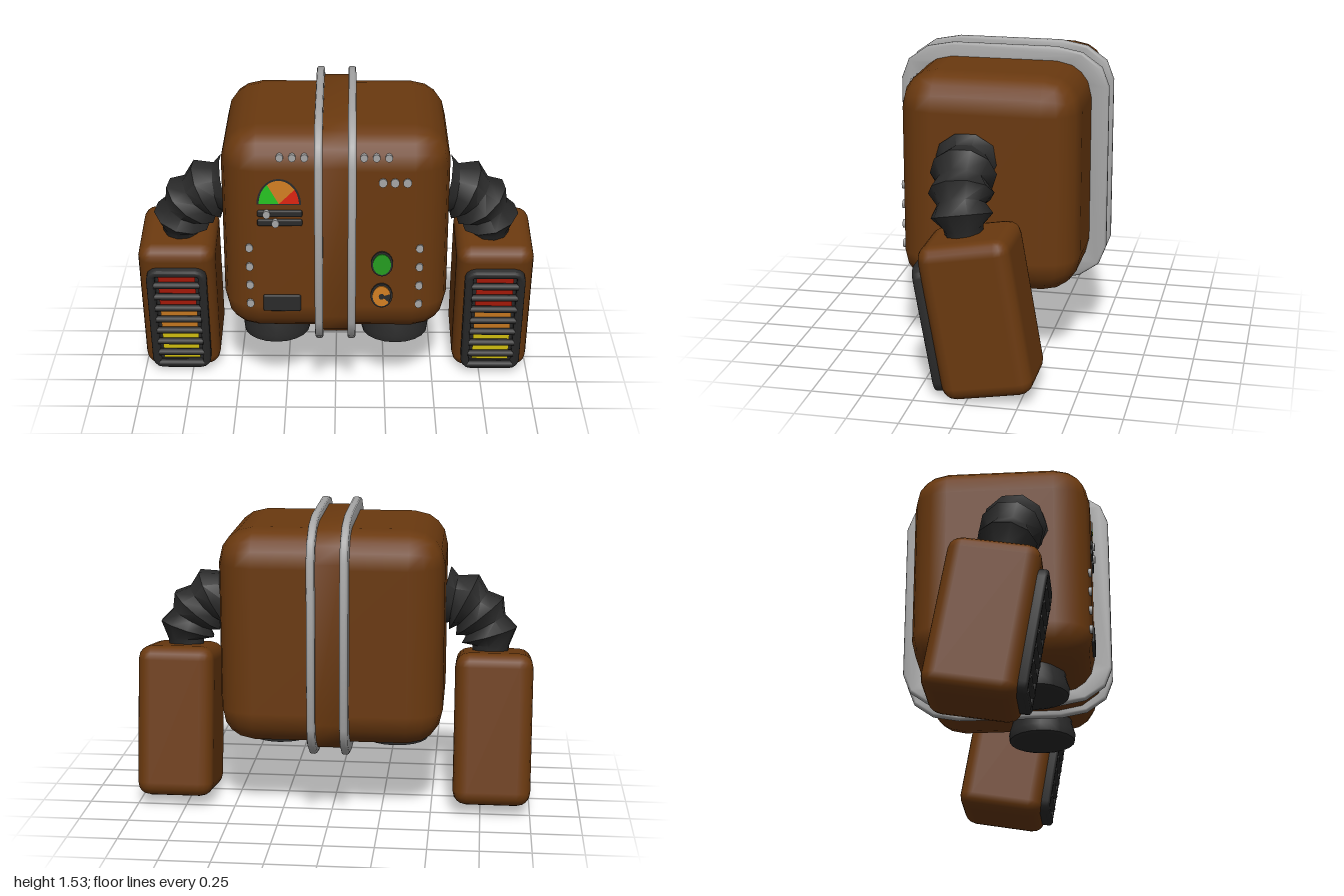
import * as THREE from 'three';
import { toCreasedNormals } from 'three/addons/utils/BufferGeometryUtils.js';
import { RoundedBoxGeometry } from 'three/addons/geometries/RoundedBoxGeometry.js';

const paint = (name, color) => Object.assign(new THREE.MeshStandardMaterial({ color }), { name });
const brown = paint('brown shell', 0x6a390f);
const black = paint('black rubber', 0x2a2a2a);
const grey = paint('grey metal', 0xa6a6a6);
const deepRed = paint('deep red', 0xb01a0a);
const red = paint('bright red', 0xdc2410);
const orange = paint('orange', 0xd27f22);
const yellow = paint('yellow', 0xe0cc12);
const green = paint('bright green', 0x26c422);
const buttonGreen = paint('button green', 0x249c20);

const FRONT = 0.44;

function add(parent, name, geometry, material, x = 0, y = 0, z = 0) {
  const mesh = new THREE.Mesh(geometry, material);
  mesh.name = name;
  mesh.position.set(x, y, z);
  parent.add(mesh);
  return mesh;
}

// Rectangle with three-step rounded corners, as a Shape or Path
function roundedRect(Type, hw, hh, rw, rh = rw, cy = 0) {
  const points = [];
  [[1, 1], [-1, 1], [-1, -1], [1, -1]].forEach(([sx, sy], corner) => {
    for (let i = 0; i <= 3; i++) {
      const a = (corner + i / 3) * Math.PI / 2;
      points.push(new THREE.Vector2(sx * (hw - rw) + rw * Math.cos(a), cy + sy * (hh - rh) + rh * Math.sin(a)));
    }
  });
  return new Type(points);
}

// Short elliptical stud whose axis points forward
function stud(parent, name, material, x, y, rx, ry, z, depth = 0.02, sides = 10) {
  const geometry = new THREE.CylinderGeometry(1, 1, depth, sides).rotateX(Math.PI / 2).scale(rx, ry, 1);
  return add(parent, name, geometry, material, x, y, z - depth / 2);
}

// Flat slice of an ellipse, angles in degrees
function slice(parent, name, material, x, y, rx, ry, z, from, to) {
  const rad = Math.PI / 180;
  const geometry = new THREE.CircleGeometry(1, 16, from * rad, (to - from) * rad).scale(rx, ry, 1);
  return add(parent, name, geometry, material, x, y, z);
}

function buildBody(parent) {
  add(parent, 'body', new RoundedBoxGeometry(1.11, 1.08, 0.88, 2, 0.175), brown, 0, 0.92, 0);

  // Raised centre band, held between two metal hoops
  const bandShape = roundedRect(THREE.Shape, 0.482, 0.57, 0.23, 0.17);
  const band = new THREE.ExtrudeGeometry(bandShape, { depth: 0.13, bevelEnabled: false });
  band.translate(0, 0, -0.065).rotateY(Math.PI / 2);
  add(parent, 'centreBand', toCreasedNormals(band, 0.8), brown, 0, 0.921, 0);

  const hoopShape = roundedRect(THREE.Shape, 0.513, 0.592, 0.255, 0.18);
  hoopShape.holes.push(roundedRect(THREE.Path, 0.42, 0.50, 0.2, 0.13));
  const hoop = new THREE.ExtrudeGeometry(hoopShape, {
    depth: 0.016, bevelThickness: 0.012, bevelSize: 0.012, bevelSegments: 2,
  });
  hoop.translate(0, 0, -0.008).rotateY(Math.PI / 2);
  const hoopGeometry = toCreasedNormals(hoop, 0.9);
  for (const s of [-1, 1]) add(parent, 'hoop', hoopGeometry, grey, s * 0.08, 0.924, 0);

  // Flared feet
  const footProfile = [[0, 0], [0.14, 0], [0.168, 0.008], [0.172, 0.045], [0.155, 0.1], [0.15, 0.17]]
    .map(([x, y]) => new THREE.Vector2(x, y));
  const foot = toCreasedNormals(new THREE.LatheGeometry(footProfile, 20), 0.9);
  for (const s of [-1, 1]) add(parent, 'foot', foot, black, s * 0.302, 0.27, 0.15);
}

function buildControls(parent) {
  // Rivets along the top and down both sides
  for (const x of [-0.265, -0.205, -0.147, 0.136, 0.195, 0.254]) {
    stud(parent, 'topRivet', grey, x, 1.353, 0.018, 0.02, 0.436, 0.03);
  }
  for (const x of [0.227, 0.284, 0.343]) stud(parent, 'indicator', grey, x, 1.23, 0.021, 0.023, FRONT + 0.008);
  for (const x of [-0.418, 0.41]) {
    for (let i = 0; i < 4; i++) stud(parent, 'sideRivet', grey, x, 0.877 - i * 0.102, 0.019, 0.022, 0.443);
  }

  // Three-colour gauge
  const gx = -0.27, gy = 1.12;
  slice(parent, 'gaugeRim', black, gx, gy - 0.006, 0.107, 0.136, FRONT + 0.004, 0, 180);
  [[red, 0, 38], [orange, 38, 125], [green, 125, 180]].forEach(([material, from, to]) =>
    slice(parent, 'gaugeSector', material, gx, gy, 0.096, 0.122, FRONT + 0.009, from, to));

  // Sliders in their slots
  [[1.066, -0.33], [1.018, -0.288]].forEach(([y, knobX]) => {
    add(parent, 'sliderSlot', new RoundedBoxGeometry(0.218, 0.036, 0.02, 1, 0.009), black, -0.267, y, FRONT);
    stud(parent, 'sliderKnob', grey, knobX, y, 0.018, 0.021, FRONT + 0.02);
  });

  add(parent, 'darkPanel', new RoundedBoxGeometry(0.185, 0.09, 0.02, 2, 0.009), black, -0.262, 0.576, FRONT);

  // Two round buttons, the lower one marked like a dial
  for (const [y, material] of [[0.797, buttonGreen], [0.622, orange]]) {
    stud(parent, 'buttonRim', black, 0.227, y, 0.054, 0.067, FRONT + 0.01, 0.02, 18);
    stud(parent, 'button', material, 0.227, y, 0.044, 0.056, FRONT + 0.016, 0.02, 18);
  }
  slice(parent, 'dialWedge', black, 0.227, 0.622, 0.044, 0.056, FRONT + 0.019, -35, 15);
  slice(parent, 'dialHub', black, 0.227, 0.622, 0.014, 0.016, FRONT + 0.02, 0, 360);
}

// Bellows arm: a tube whose rings alternate between ridge and valley
function bellows(side) {
  const path = new THREE.CatmullRomCurve3([
    [0.54, 1.05, 0.085], [0.645, 1.025, 0.08], [0.735, 0.945, 0.07], [0.782, 0.85, 0.055], [0.785, 0.755, 0.04],
  ].map(([x, y, z]) => new THREE.Vector3(side * x, y, z)));
  const radii = [0.16, 0.122, 0.16, 0.12, 0.157, 0.115, 0.148, 0.095, 0.09];
  const sides = 10;
  const geometry = new THREE.TubeGeometry(path, radii.length - 1, 1, sides, false);
  const position = geometry.attributes.position;
  const v = new THREE.Vector3();
  for (let i = 0; i < position.count; i++) {
    const ring = Math.floor(i / (sides + 1));
    const centre = path.getPointAt(ring / (radii.length - 1));
    v.fromBufferAttribute(position, i).sub(centre).multiplyScalar(radii[ring]).add(centre);
    position.setXYZ(i, v.x, v.y, v.z);
  }
  return toCreasedNormals(geometry, 1.0);
}

function buildArm(parent, side) {
  const arm = new THREE.Group();
  arm.name = side > 0 ? 'leftArm' : 'rightArm';
  parent.add(arm);
  add(arm, 'bellows', bellows(side), black);

  const forearm = new THREE.Group();
  forearm.name = 'forearm';
  forearm.position.set(side * 0.805, 0.408, -0.042);
  forearm.rotation.x = 0.17;
  arm.add(forearm);
  add(forearm, 'forearmShell', new RoundedBoxGeometry(0.39, 0.77, 0.444, 2, 0.07), brown);

  // Framed grille with glowing strips behind slats
  const cy = -0.031;
  const frameShape = roundedRect(THREE.Shape, 0.14, 0.305, 0.045, 0.045, cy);
  frameShape.holes.push(roundedRect(THREE.Path, 0.122, 0.292, 0.02, 0.02, cy));
  const frame = new THREE.ExtrudeGeometry(frameShape, {
    depth: 0.05, bevelThickness: 0.012, bevelSize: 0.012, bevelSegments: 2,
  });
  add(forearm, 'grilleFrame', toCreasedNormals(frame, 0.9), black, 0, 0, 0.2);
  add(forearm, 'grilleBack', new THREE.PlaneGeometry(0.25, 0.59), black, 0, cy, 0.226);

  const stripColours = [deepRed, deepRed, deepRed, orange, orange, yellow, yellow, yellow];
  const slat = new THREE.CylinderGeometry(0.018, 0.018, 0.235, 8).rotateZ(Math.PI / 2);
  stripColours.forEach((material, i) => {
    const y = 0.232 - i * 0.0735;
    add(forearm, 'glowStrip', new THREE.PlaneGeometry(0.188, i === 7 ? 0.03 : 0.06), material, 0, y, 0.234);
    if (i === 5) add(forearm, 'glowStripEdge', new THREE.PlaneGeometry(0.188, 0.025), orange, 0, y + 0.02, 0.236);
    add(forearm, 'slat', slat, black, 0, y - 0.037, 0.25);
  });
}

export function createModel() {
  const model = new THREE.Group();
  model.name = 'boxRobot';
  buildBody(model);
  buildControls(model);
  for (const side of [-1, 1]) buildArm(model, side);
  return model;
}
